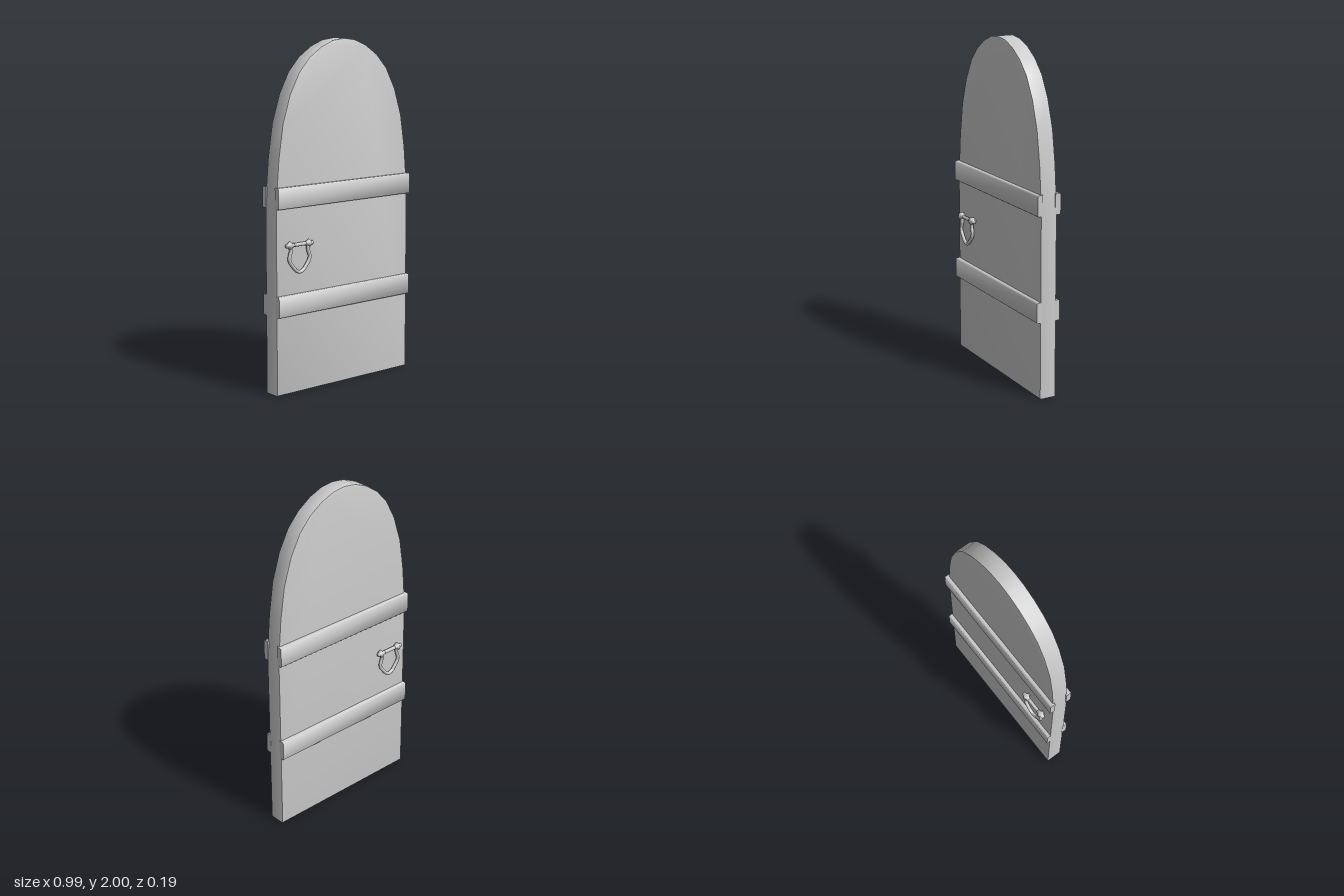
import * as THREE from 'three';
import { toCreasedNormals } from 'three/addons/utils/BufferGeometryUtils.js';

const material = new THREE.MeshStandardMaterial({ color: 0xcccccc });

function addMesh(parent, name, geometry, x = 0, y = 0, z = 0) {
  const mesh = new THREE.Mesh(geometry, material);
  mesh.name = name;
  mesh.position.set(x, y, z);
  parent.add(mesh);
  return mesh;
}

// Extrude a shape to a total depth centred on z = 0, with softened edges
function softExtrude(shape, depth, bevel) {
  const geometry = new THREE.ExtrudeGeometry(shape, {
    depth: depth - 2 * bevel, bevelEnabled: true, bevelThickness: bevel,
    bevelSize: bevel, bevelOffset: -bevel, bevelSegments: 2,
  });
  geometry.translate(0, 0, bevel - depth / 2);
  return toCreasedNormals(geometry, 0.7);
}

// Arched slab
function makePanel() {
  const side = [[0.495, 0], [0.493, 1.08], [0.485, 1.2], [0.472, 1.35], [0.442, 1.54],
    [0.39, 1.7], [0.325, 1.82], [0.25, 1.9], [0.165, 1.957], [0.08, 1.99]];
  const points = [...side, [0, 2], ...side.map(([x, y]) => [-x, y]).reverse()];
  const shape = new THREE.Shape(points.map(([x, y]) => new THREE.Vector2(x, y)));
  return softExtrude(shape, 0.1, 0.006);
}

// Horizontal strap: a chamfered section in (z, y), run along the width
function makeStrap() {
  const section = [[0.04, -0.06], [0.068, -0.06], [0.073, -0.055],
    [0.073, 0.053], [0.066, 0.06], [0.04, 0.06]];
  const shape = new THREE.Shape(section.map(([z, y]) => new THREE.Vector2(-z, y)));
  const geometry = new THREE.ExtrudeGeometry(shape, { depth: 0.99, bevelEnabled: false });
  geometry.translate(0, 0, -0.495);
  geometry.rotateY(Math.PI / 2);
  return toCreasedNormals(geometry, 0.9);
}

// Pull: crossbar with pointed knobs and a hanging pointed ring
function makeHandle() {
  const handle = new THREE.Group();
  const bar = new THREE.CylinderGeometry(0.011, 0.011, 0.15, 8);
  bar.rotateZ(Math.PI / 2);
  addMesh(handle, 'crossbar', bar, 0, 0.862, 0.072);

  const profile = [[0, -0.028], [0.012, -0.026], [0.012, -0.014], [0.024, 0],
    [0.012, 0.014], [0.012, 0.026], [0, 0.028]];
  const knob = new THREE.LatheGeometry(profile.map(([r, y]) => new THREE.Vector2(r, y)), 10);
  knob.rotateZ(Math.PI / 2);
  for (const s of [-1, 1]) {
    addMesh(handle, 'knob', knob, s * 0.068, 0.862, 0.072);
    // Stud that fixes the knob to the slab
    const stud = new THREE.CylinderGeometry(0.01, 0.01, 0.04, 8);
    stud.rotateX(Math.PI / 2);
    addMesh(handle, 'stud', stud, s * 0.068, 0.862, 0.055);
  }

  const path = [[-0.064, 0.858, 0.07], [-0.062, 0.825, 0.071], [-0.073, 0.79, 0.072],
    [-0.068, 0.765, 0.073], [-0.03, 0.718, 0.074], [0, 0.704, 0.074],
    [0.03, 0.718, 0.074], [0.068, 0.765, 0.073], [0.073, 0.79, 0.072],
    [0.062, 0.825, 0.071], [0.064, 0.858, 0.07]].map((p) => new THREE.Vector3(...p));
  const curve = new THREE.CatmullRomCurve3(path, false, 'catmullrom', 0.3);
  addMesh(handle, 'ring', new THREE.TubeGeometry(curve, 40, 0.0105, 8));
  return handle;
}

export function createModel() {
  const door = new THREE.Group();
  door.name = 'archedDoor';
  addMesh(door, 'doorPanel', makePanel());

  // Straps and a pull on each face
  const strap = makeStrap();
  for (const [face, turn] of [['front', 0], ['back', Math.PI]]) {
    addMesh(door, face + 'UpperStrap', strap, 0, 1.13, 0).rotation.y = turn;
    addMesh(door, face + 'LowerStrap', strap, 0, 0.516, 0).rotation.y = turn;
    const handle = makeHandle();
    handle.name = face + 'Handle';
    handle.position.x = -0.348;
    handle.rotation.y = turn;
    door.add(handle);
  }
  return door;
}
